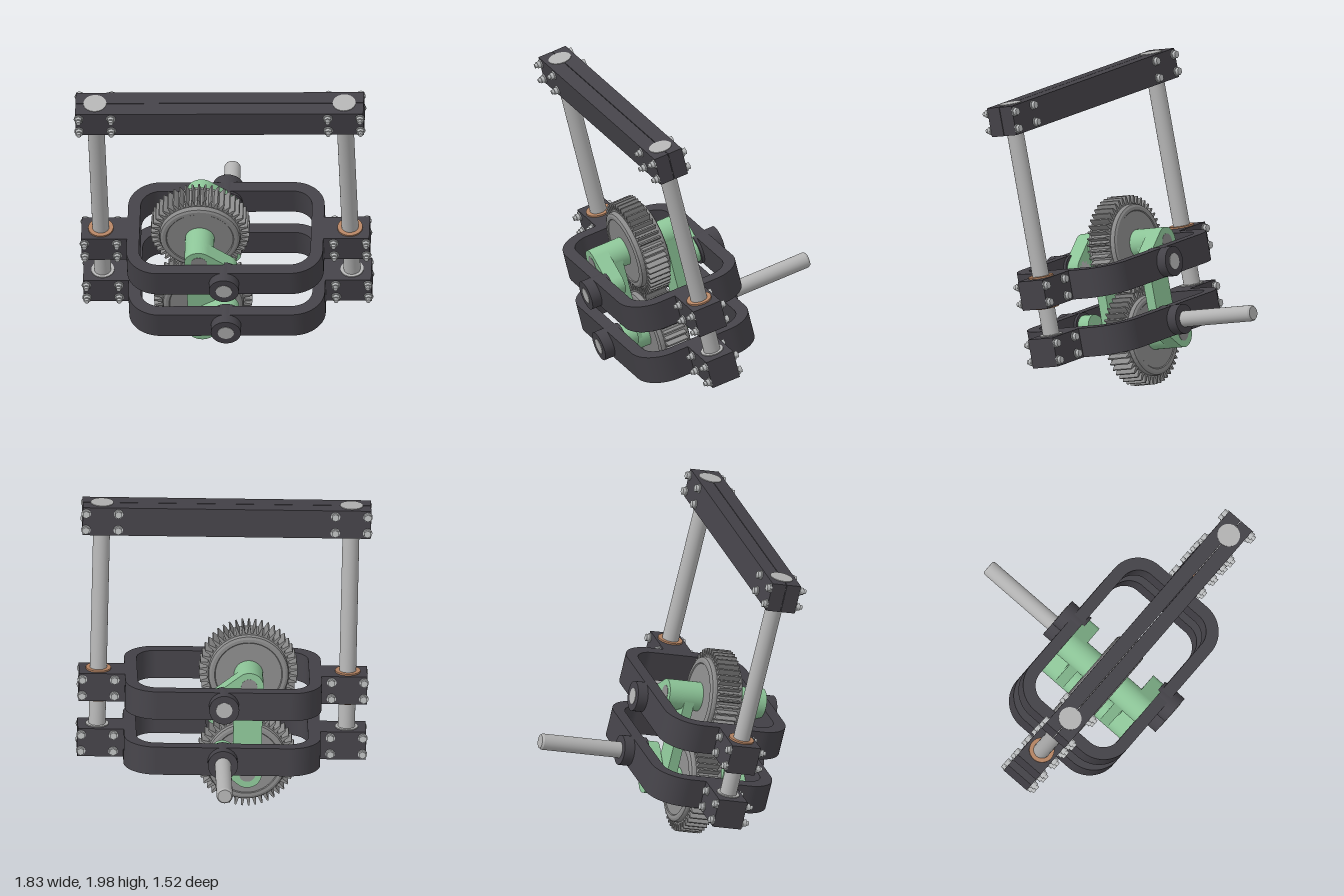
import * as THREE from 'three';

const mat = (name, color, side = THREE.FrontSide) => {
  const m = new THREE.MeshStandardMaterial({ color, side });
  m.name = name;
  return m;
};

export function createModel() {
  const dark = mat('dark frame', 0x444248);
  const green = mat('green link', 0x8cc497);
  const steel = mat('rod steel', 0xb3b3b3);
  const grey = mat('gear grey', 0x8a8a8a);
  const copper = mat('copper bushing', 0xb58463);
  const zinc = mat('bolt zinc', 0xbcbebf);

  const root = new THREE.Group();
  root.name = 'gearPress';
  const rig = new THREE.Group();
  rig.name = 'tiltedRig';
  rig.position.set(0.016, 0.434, 0.21);
  rig.rotation.set(0.23, 0.023, 0.026, 'YZX');
  root.add(rig);

  const add = (name, geo, m, x = 0, y = 0, z = 0, parent = rig) => {
    const mesh = new THREE.Mesh(geo, m);
    mesh.name = name;
    mesh.position.set(x, y, z);
    parent.add(mesh);
    return mesh;
  };
  const group = (name, x = 0, y = 0, z = 0) => {
    const g = new THREE.Group();
    g.name = name;
    g.position.set(x, y, z);
    rig.add(g);
    return g;
  };
  // cylinder along z between two depths
  const cylZ = (r, z0, z1, sides = 32) =>
    new THREE.CylinderGeometry(r, r, z1 - z0, sides).rotateX(Math.PI / 2).translate(0, 0, (z0 + z1) / 2);

  const rodX = 0.77, barY = 1.462, upperY = 0.365;
  const H = 0.182, D = 0.188, END = 0.89;

  // Four bolts, with a nut on each face, around a rod
  const bolts = (x, y) => {
    const g = group('boltSet', x, y, 0);
    for (const bx of [-0.1, 0.1]) for (const by of [-0.053, 0.053]) {
      add('boltShank', cylZ(0.014, -0.115, 0.138, 12), zinc, bx, by, 0, g);
      for (const s of [1, -1]) {
        const z = s * D / 2;
        add('washer', cylZ(0.029, -0.004, 0.004, 20), zinc, bx, by, z + s * 0.003, g);
        add('nut', cylZ(0.024, -0.011, 0.011, 6), zinc, bx, by, z + s * 0.016, g);
      }
    }
  };

  // Rounded rectangle in the x-z plane
  const roundRect = (path, w, d, r) => {
    path.moveTo(w, -d + r);
    path.lineTo(w, d - r);
    path.absarc(w - r, d - r, r, 0, Math.PI / 2);
    path.absarc(-w + r, d - r, r, Math.PI / 2, Math.PI);
    path.absarc(-w + r, -d + r, r, Math.PI, Math.PI * 1.5);
    path.absarc(w - r, -d + r, r, Math.PI * 1.5, Math.PI * 2);
    return path;
  };

  // Ring frames with clamp blocks and bearing bosses
  const ringShape = roundRect(new THREE.Shape(), 0.607, 0.395, 0.2);
  ringShape.holes.push(roundRect(new THREE.Path(), 0.53, 0.318, 0.125));
  const ringGeo = new THREE.ExtrudeGeometry(ringShape, { depth: H, bevelEnabled: false, curveSegments: 14 })
    .rotateX(-Math.PI / 2).translate(0, -H / 2, 0);
  for (const [label, y] of [['lower', 0], ['upper', upperY]]) {
    const g = group(label + 'Frame', 0, y, 0);
    add('ring', ringGeo, dark, 0, 0, 0, g);
    for (const s of [1, -1]) {
      add('clampBlock', new THREE.BoxGeometry(END - 0.56, H, D), dark, s * (END + 0.56) / 2, 0, 0, g);
      add('bearingBoss', s > 0 ? cylZ(0.093, 0.3, 0.46) : cylZ(0.093, -0.46, -0.3), dark, 0, 0, 0, g);
      bolts(s * rodX, y);
    }
    // Stub axles through the bosses; the lower rear one is the drive shaft
    add('frontAxle', cylZ(0.05, 0.22, 0.463), steel, 0, 0, 0, g);
    add('rearAxle', cylZ(0.05, y ? -0.463 : -0.975, -0.22), steel, 0, 0, 0, g);
    if (!y) {
      const tip = new THREE.CylinderGeometry(0.05, 0.042, 0.012, 32).rotateX(Math.PI / 2);
      add('driveShaftTip', tip, steel, 0, 0, -0.981, g);
    }
  }

  // Upper crossbar in two clamped halves
  for (const s of [1, -1]) {
    add('crossbarHalf', new THREE.BoxGeometry(END * 2, H, D / 2 - 0.002), dark, 0, barY, s * (D / 4 + 0.001));
    bolts(s * rodX, barY);
  }

  // Guide rods with wider ends, and bushings where they slide
  for (const s of [1, -1]) {
    const x = s * rodX;
    add('guideRod', new THREE.CylinderGeometry(0.052, 0.052, barY, 32), steel, x, barY / 2, 0);
    add('rodTopEnd', new THREE.CylinderGeometry(0.071, 0.071, H + 0.008, 32), steel, x, barY, 0);
    add('rodBottomEnd', new THREE.CylinderGeometry(0.071, 0.071, H + 0.012, 32), steel, x, 0, 0);
    add('bushing', new THREE.CylinderGeometry(0.078, 0.078, H + 0.02, 32), copper, x, upperY, 0);
  }

  // Toothed wheels
  const TEETH = 46, gearX = -0.155, midY = upperY / 2 - 0.003, gearOff = 0.288;
  const toothShape = new THREE.Shape();
  for (let i = 0; i < TEETH; i++) {
    for (const [t, r] of [[-0.3, 0.258], [-0.2, 0.285], [-0.1, 0.304], [0.1, 0.304], [0.2, 0.285], [0.3, 0.258]]) {
      const a = (i + t) / TEETH * Math.PI * 2;
      const [px, py] = [Math.cos(a) * r, Math.sin(a) * r];
      if (i === 0 && t === -0.3) toothShape.moveTo(px, py); else toothShape.lineTo(px, py);
    }
  }
  const toothGeo = new THREE.ExtrudeGeometry(toothShape, { depth: 0.14, bevelEnabled: false }).translate(0, 0, -0.07);
  const web = [[0, -0.1], [0.205, -0.1], [0.21, -0.105], [0.23, -0.105], [0.245, -0.098], [0.25, -0.085],
    [0.25, 0.085], [0.245, 0.098], [0.23, 0.105], [0.21, 0.105], [0.205, 0.1], [0, 0.1]]
    .map(p => new THREE.Vector2(...p));
  const webGeo = new THREE.LatheGeometry(web, 48).rotateX(Math.PI / 2).toNonIndexed();
  webGeo.computeVertexNormals();

  // Link plate: two round ends joined by their outer tangents
  const linkGeo = (ax, ay, ar, bx, by, br, z0, z1) => {
    const dir = Math.atan2(by - ay, bx - ax);
    const t = Math.acos((ar - br) / Math.hypot(bx - ax, by - ay));
    const s = new THREE.Shape();
    s.absarc(ax, ay, ar, dir + t, dir - t + Math.PI * 2);
    s.absarc(bx, by, br, dir - t, dir + t);
    return new THREE.ExtrudeGeometry(s, { depth: z1 - z0, bevelEnabled: false, curveSegments: 20 }).translate(0, 0, z0);
  };

  for (const [label, s, frameY] of [['lower', -1, 0], ['upper', 1, upperY]]) {
    const gy = midY + s * gearOff;
    const g = group(label + 'Gear', gearX, gy, 0);
    const teeth = add('gearTeeth', toothGeo, grey, 0, 0, 0, g);
    if (s > 0) teeth.rotation.z = Math.PI / TEETH;
    add('gearWeb', webGeo, grey, 0, 0, 0, g);
    add('gearHub', cylZ(0.09, -0.318, 0.318), green, 0, 0, 0, g);
    add('gearPin', cylZ(0.05, -0.322, 0.322), grey, 0, 0, 0, g);
    // Short arms from the gear hub to the frame bearing
    for (const z of [0.22, -0.32]) {
      add(label + 'Arm', linkGeo(gearX, gy, 0.09, 0, frameY, 0.075, z, z + 0.1), green);
    }
  }

  // Upright links between the two gear hubs
  for (const z of [0.15, -0.215]) {
    add('uprightLink', linkGeo(gearX, midY - gearOff, 0.089, gearX, midY + gearOff, 0.089, z, z + 0.065), green);
  }

  return root;
}
